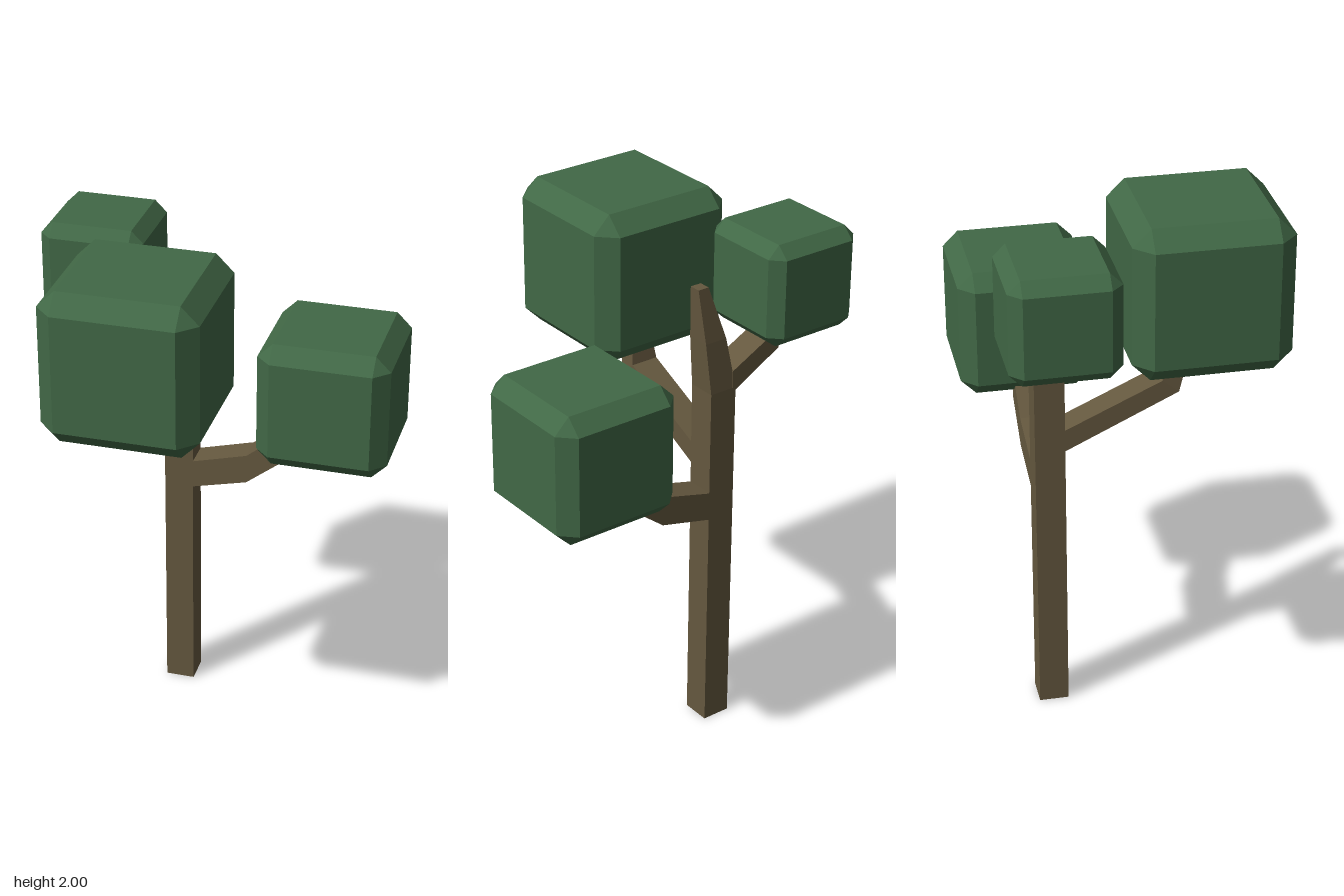
import * as THREE from 'three';
import { ConvexGeometry } from 'three/addons/geometries/ConvexGeometry.js';

const bark = new THREE.MeshStandardMaterial({ color: 0x65583f, flatShading: true });
const leaf = new THREE.MeshStandardMaterial({ color: 0x416846, flatShading: true });
const TRUNK_X = -0.17, TRUNK_Z = -0.29;

// Skins four-cornered rings and caps both ends
function loft(rings) {
  const pos = [];
  const quad = (a, b, c, d) => pos.push(...a, ...b, ...c, ...a, ...c, ...d);
  for (let i = 0; i + 1 < rings.length; i++) {
    const r = rings[i], s = rings[i + 1];
    for (let j = 0; j < 4; j++) {
      const k = (j + 1) % 4;
      quad(r[j], r[k], s[k], s[j]);
    }
  }
  const [a, b, c, d] = rings[0];
  quad(d, c, b, a);
  quad(...rings[rings.length - 1]);
  const geo = new THREE.BufferGeometry();
  geo.setAttribute('position', new THREE.Float32BufferAttribute(pos, 3));
  geo.computeVertexNormals();
  return geo;
}

// Horizontal square ring of half-width h, shifted by x
const trunkRing = ([x, y, h]) => [[x - h, y, h], [x + h, y, h], [x + h, y, -h], [x - h, y, -h]];

// Branch ring: lower point, upper point (distance from trunk, height), half-width
const branchRing = ([d0, y0, d1, y1, w]) => [[d0, y0, w], [d0, y0, -w], [d1, y1, -w], [d1, y1, w]];

function addBark(group, name, rings, angle) {
  const mesh = new THREE.Mesh(loft(rings), bark);
  mesh.name = name;
  mesh.position.set(TRUNK_X, 0, TRUNK_Z);
  mesh.rotation.y = angle;
  group.add(mesh);
}

// Cube with chamfered edges and triangular corners
function addFoliage(group, name, size, bevel, x, y, z) {
  const h = size / 2, i = h - bevel, pts = [];
  for (const sx of [-1, 1]) for (const sy of [-1, 1]) for (const sz of [-1, 1]) {
    pts.push(
      new THREE.Vector3(sx * h, sy * i, sz * i),
      new THREE.Vector3(sx * i, sy * h, sz * i),
      new THREE.Vector3(sx * i, sy * i, sz * h));
  }
  const mesh = new THREE.Mesh(new ConvexGeometry(pts), leaf);
  mesh.name = name;
  mesh.position.set(x, y, z);
  group.add(mesh);
}

export function createModel() {
  const tree = new THREE.Group();
  tree.name = 'tree';

  // Square trunk with a leaning, tapered tip
  addBark(tree, 'trunk', [[0, 0, 0.055], [0, 1.4, 0.055], [0.03, 1.6, 0.045], [0.072, 1.805, 0.022]].map(trunkRing), 0);

  // Bent branches reaching up into the foliage
  addBark(tree, 'leftBranch', [
    [0.04, 0.885, 0.04, 0.995, 0.055], [0.265, 0.94, 0.265, 1.055, 0.055],
    [0.425, 1.065, 0.37, 1.14, 0.055], [0.425, 1.25, 0.35, 1.25, 0.045]].map(branchRing), 0);
  addBark(tree, 'frontBranch', [
    [0.04, 1.075, 0.04, 1.16, 0.055], [0.47, 1.28, 0.41, 1.33, 0.055],
    [0.53, 1.5, 0.44, 1.5, 0.035]].map(branchRing), -Math.PI / 2);
  addBark(tree, 'rightBranch', [
    [0.04, 1.38, 0.04, 1.465, 0.055], [0.25, 1.5, 0.21, 1.555, 0.055],
    [0.285, 1.68, 0.22, 1.68, 0.04]].map(branchRing), Math.PI);

  // Foliage blocks
  addFoliage(tree, 'frontFoliage', 0.572, 0.066, -0.17, 1.714, 0.257);
  addFoliage(tree, 'leftFoliage', 0.492, 0.057, 0.41, 1.357, -0.298);
  addFoliage(tree, 'rightFoliage', 0.386, 0.045, -0.465, 1.767, -0.299);
  return tree;
}
